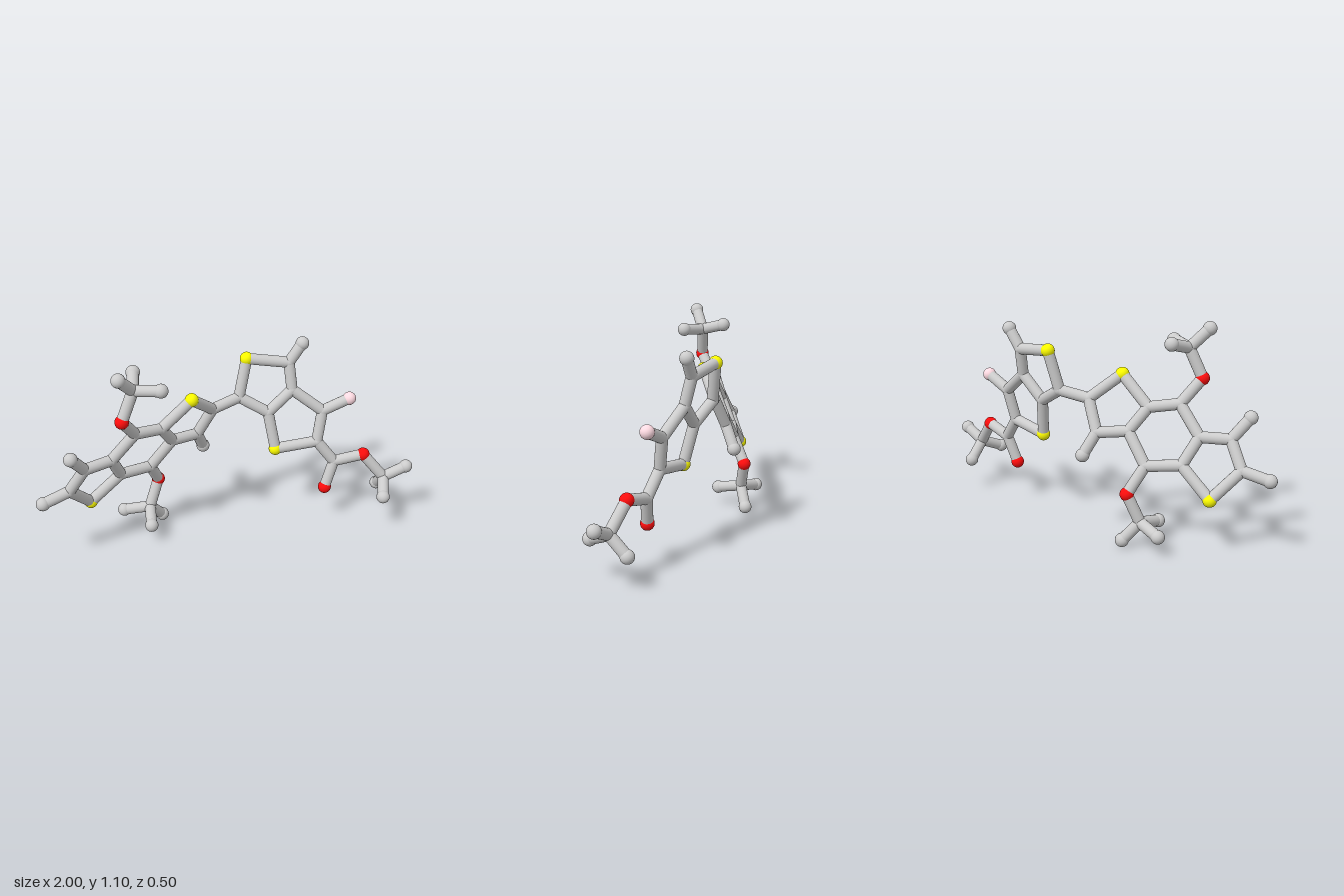
import * as THREE from 'three';

const BOND_R = 0.029, JOINT_R = 0.03, BALL_R = 0.035;

const materials = {
  grey: new THREE.MeshStandardMaterial({ color: 0xcccccc }),
  yellow: new THREE.MeshStandardMaterial({ color: 0xffff00 }),
  red: new THREE.MeshStandardMaterial({ color: 0xff0d0d }),
  pink: new THREE.MeshStandardMaterial({ color: 0xffdbe3 }),
};

// Element kinds: C joint, H end ball, S sulfur, O oxygen, F fluorine
const kinds = {
  C: ['carbonJoint', JOINT_R, 'grey'],
  H: ['hydrogenBall', BALL_R, 'grey'],
  S: ['sulfurBall', BALL_R, 'yellow'],
  O: ['oxygenBall', BALL_R, 'red'],
  F: ['fluorineBall', BALL_R, 'pink'],
};

// Each part: atoms keyed by name (first letter is the kind) and bonds between them
const parts = {
  fusedTripleRing: {
    atoms: {
      S1: [-0.715, 0.29, -0.065], C1: [-0.83, 0.433, 0.033], C2: [-0.75, 0.567, 0.068],
      C3: [-0.607, 0.567, 0.016], C4: [-0.553, 0.433, -0.058], C5: [-0.485, 0.71, 0.035],
      C6: [-0.34, 0.684, -0.023], C7: [-0.27, 0.567, -0.095], C8: [-0.385, 0.415, -0.12],
      S2: [-0.182, 0.828, -0.015], C9: [-0.048, 0.705, -0.115], C10: [-0.122, 0.55, -0.155],
      H1: [-0.967, 0.4, 0.06], H2: [-0.82, 0.672, 0.13], H3: [-0.077, 0.438, -0.213],
    },
    bonds: 'S1-C1 C1-C2 C2-C3 C3-C4 C4-S1 C3-C5 C5-C6 C6-C7 C7-C8 C8-C4 C6-S2 S2-C9 C9-C10 C10-C7 C1-H1 C2-H2 C10-H3',
  },
  upperMethoxy: {
    atoms: {
      O3: [-0.56, 0.832, 0.118], C11: [-0.495, 0.98, 0.095], H4: [-0.572, 1.073, 0.155],
      H5: [-0.372, 0.994, 0.16], H6: [-0.468, 1.015, -0.03],
    },
    bonds: 'C5-O3 O3-C11 C11-H4 C11-H5 C11-H6',
  },
  lowerMethoxy: {
    atoms: {
      O4: [-0.33, 0.281, -0.198], C12: [-0.388, 0.135, -0.165], H7: [-0.52, 0.105, -0.215],
      H8: [-0.313, 0.04, -0.212], H9: [-0.41, 0.105, -0.028],
    },
    bonds: 'C8-O4 O4-C12 C12-H7 C12-H8 C12-H9',
  },
  fusedDoubleRing: {
    atoms: {
      C13: [0.105, 0.733, -0.153], S3: [0.153, 0.935, -0.182], C14: [0.367, 0.908, -0.133],
      C15: [0.377, 0.765, -0.1], C16: [0.25, 0.647, -0.105], S4: [0.28, 0.447, -0.06],
      C17: [0.497, 0.481, -0.018], C18: [0.53, 0.647, -0.043],
      H10: [0.436, 1.008, -0.132], F1: [0.67, 0.709, -0.024],
    },
    bonds: 'C9-C13 C13-S3 S3-C14 C14-C15 C15-C16 C16-C13 C16-S4 S4-C17 C17-C18 C18-C15 C14-H10 C18-F1',
  },
  esterTail: {
    atoms: {
      C19: [0.587, 0.362, 0.015], O5: [0.535, 0.218, 0.033], O6: [0.738, 0.4, 0.052],
      C20: [0.845, 0.268, 0.098], H11: [0.965, 0.324, 0.115], H12: [0.8, 0.217, 0.212], H13: [0.85, 0.175, 0.008],
    },
    bonds: 'C17-C19 C19-O5 C19-O6 O6-C20 C20-H11 C20-H12 C20-H13',
  },
};

const UP = new THREE.Vector3(0, 1, 0);
const bondGeometry = new THREE.CylinderGeometry(BOND_R, BOND_R, 1, 24, 1, true);

function makeBall(kind, position) {
  const [name, radius, color] = kinds[kind];
  const ball = new THREE.Mesh(new THREE.SphereGeometry(radius, 28, 18), materials[color]);
  ball.name = name;
  ball.position.copy(position);
  return ball;
}

// Open cylinder between two atoms; the balls close its ends
function makeBond(a, b) {
  const direction = b.clone().sub(a);
  const bond = new THREE.Mesh(bondGeometry, materials.grey);
  bond.name = 'bond';
  bond.position.copy(a).add(b).multiplyScalar(0.5);
  bond.scale.y = direction.length();
  bond.quaternion.setFromUnitVectors(UP, direction.normalize());
  return bond;
}

export function createModel() {
  const model = new THREE.Group();
  model.name = 'molecule';
  const positions = {};
  for (const [partName, { atoms, bonds }] of Object.entries(parts)) {
    const part = new THREE.Group();
    part.name = partName;
    for (const [key, xyz] of Object.entries(atoms)) {
      positions[key] = new THREE.Vector3(...xyz);
      part.add(makeBall(key[0], positions[key]));
    }
    for (const pair of bonds.split(' ')) {
      const [a, b] = pair.split('-');
      part.add(makeBond(positions[a], positions[b]));
    }
    model.add(part);
  }
  return model;
}
